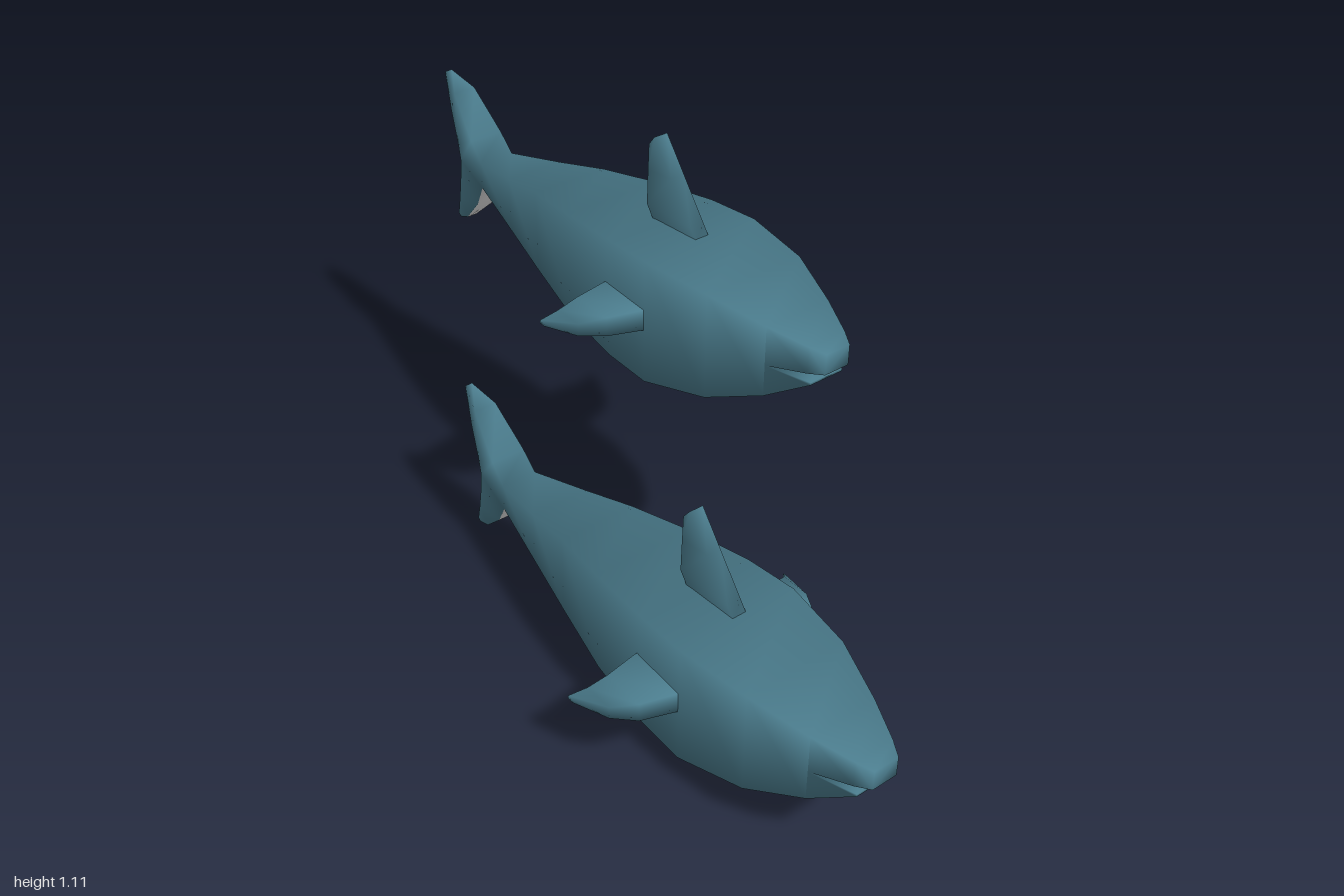
import * as THREE from 'three';

const teal = new THREE.MeshStandardMaterial({ color: 0x4c7e8f });
teal.name = 'teal skin';
const white = new THREE.MeshStandardMaterial({ color: 0xe2e2e2 });
white.name = 'pale belly';

// Collects quads into one smooth surface; corners at the same place are shared.
function surface() {
  const points = [], keys = new Map(), index = [[], []];
  const id = (p) => {
    const key = p.map((v) => Math.round(v * 1000)).join();
    if (!keys.has(key)) {
      keys.set(key, keys.size);
      points.push(...p);
    }
    return keys.get(key);
  };
  const quad = (corners, material = 0, flip = false) => {
    const [a, b, c, d] = (flip ? [...corners].reverse() : corners).map(id);
    for (const t of [[a, b, c], [a, c, d]]) {
      if (new Set(t).size === 3) index[material].push(...t);
    }
  };
  // Joins four-cornered rings; side 0 takes the given material.
  const loft = (rings, { side0 = 0, flip = false, start = false, end = true } = {}) => {
    for (let r = 0; r < rings.length - 1; r++) {
      const a = rings[r], b = rings[r + 1];
      for (let i = 0; i < 4; i++) {
        const j = (i + 1) % 4;
        quad([a[i], a[j], b[j], b[i]], i === 0 ? side0 : 0, flip);
      }
    }
    if (start) quad([...rings[0]].reverse(), 0, flip);
    if (end) quad(rings[rings.length - 1], 0, flip);
  };
  const mesh = (name) => {
    const g = new THREE.BufferGeometry();
    g.setAttribute('position', new THREE.Float32BufferAttribute(points, 3));
    g.setIndex([...index[0], ...index[1]]);
    g.addGroup(0, index[0].length, 0);
    g.addGroup(index[0].length, index[1].length, 1);
    g.computeVertexNormals();
    const m = new THREE.Mesh(g, [teal, white]);
    m.name = name;
    return m;
  };
  return { quad, loft, mesh };
}

// Square section across the body: x, bottom, top, half width
const bodyRing = ([x, bottom, top, w]) =>
  [[x, bottom, w], [x, bottom, -w], [x, top, -w], [x, top, w]];

// Section across a tail lobe: front x, y, half width, then back x, y, half width
const lobeRing = ([fx, fy, fw, bx, by, bw]) =>
  [[fx, fy, fw], [fx, fy, -fw], [bx, by, -bw], [bx, by, bw]];

function makeBody() {
  const s = surface();
  // Trunk with a pale underside
  s.loft([
    [-0.79, 0.72, 0.79, 0.047],
    [-0.62, 0.685, 0.825, 0.076],
    [-0.47, 0.65, 0.86, 0.1],
    [-0.3, 0.617, 0.887, 0.128],
    [-0.12, 0.607, 0.91, 0.149],
    [0.02, 0.61, 0.92, 0.155],
    [0.2, 0.655, 0.915, 0.13],
    [0.34, 0.718, 0.89, 0.086],
  ].map(bodyRing), { side0: 1, end: false });
  // Upper and lower jaws around the open mouth
  s.loft([[0.34, 0.795, 0.89, 0.086], [0.43, 0.808, 0.873, 0.05], [0.465, 0.815, 0.865, 0.032]].map(bodyRing));
  s.loft([[0.34, 0.718, 0.795, 0.086], [0.437, 0.78, 0.786, 0.044]].map(bodyRing), { side0: 1 });
  // Tail lobes
  const back = [-0.905, 0.75, 0.036];
  s.loft([
    [-0.79, 0.79, 0.047, ...back],
    [-0.834, 0.834, 0.045, -0.912, 0.79, 0.036],
    [-0.925, 0.927, 0.03, -0.952, 0.87, 0.026],
    [-0.995, 0.957, 0.009, -1, 0.95, 0.008],
  ].map(lobeRing));
  s.loft([
    [-0.79, 0.72, 0.047, ...back],
    [-0.834, 0.652, 0.036, -0.92, 0.695, 0.03],
    [-0.925, 0.567, 0.014, -0.955, 0.61, 0.016],
    [-0.972, 0.546, 0.007, -0.98, 0.553, 0.007],
  ].map(lobeRing), { side0: 1, flip: true });
  // Sides of the tail root, between the two lobes
  for (const z of [1, -1]) {
    const tip = [back[0], back[1], back[2] * z];
    s.quad([[-0.79, 0.79, 0.047 * z], tip, tip, [-0.79, 0.72, 0.047 * z]], 0, z < 0);
  }
  return s.mesh('body');
}

function makeDorsalFin() {
  const s = surface();
  // Sections: front x, y, back x, y
  s.loft([
    [0.05, 0.89, -0.11, 0.885],
    [0.016, 0.915, -0.14, 0.908],
    [-0.005, 0.942, -0.16, 0.935],
    [-0.075, 1.032, -0.157, 1.02],
    [-0.135, 1.109, -0.154, 1.085],
  ].map(([fx, fy, bx, by]) => lobeRing([fx, fy, 0.018, bx, by, 0.018])), { start: true });
  const fin = s.mesh('dorsalFin');
  fin.position.z = -0.01;
  return fin;
}

// Swept side fin, pale underneath; lift raises it, droop lowers its tip
function makeSideFin(side, lift, droop) {
  const s = surface();
  // Sections: z, back x, front x, bottom, top
  s.loft([
    [0.1, -0.13, 0.02, 0.745, 0.797],
    [0.155, -0.13, 0.018, 0.745, 0.797],
    [0.238, -0.115, -0.006, 0.75, 0.797],
    [0.275, -0.135, -0.06, 0.737 - droop / 2, 0.768 - droop / 2],
    [0.303, -0.168, -0.152, 0.727 - droop, 0.735 - droop],
  ].map(([z, x0, x1, y0, y1]) => [[x0, y0], [x1, y0], [x1, y1], [x0, y1]]
    .map(([x, y]) => [x, y + lift, z * side])), { side0: 1, flip: side < 0, start: true });
  return s.mesh(side > 0 ? 'leftFin' : 'rightFin');
}

export function createModel() {
  const model = new THREE.Group();
  model.name = 'twoSharks';

  const shark = new THREE.Group();
  shark.name = 'upperShark';
  shark.add(makeBody(), makeDorsalFin(), makeSideFin(1, 0, 0), makeSideFin(-1, 0.01, -0.012));
  shark.position.set(0, 0, -0.155);

  // Second shark, ahead and below
  const second = shark.clone();
  second.name = 'lowerShark';
  second.position.set(0.535, -0.546, 0.168);

  model.add(shark, second);
  return model;
}
